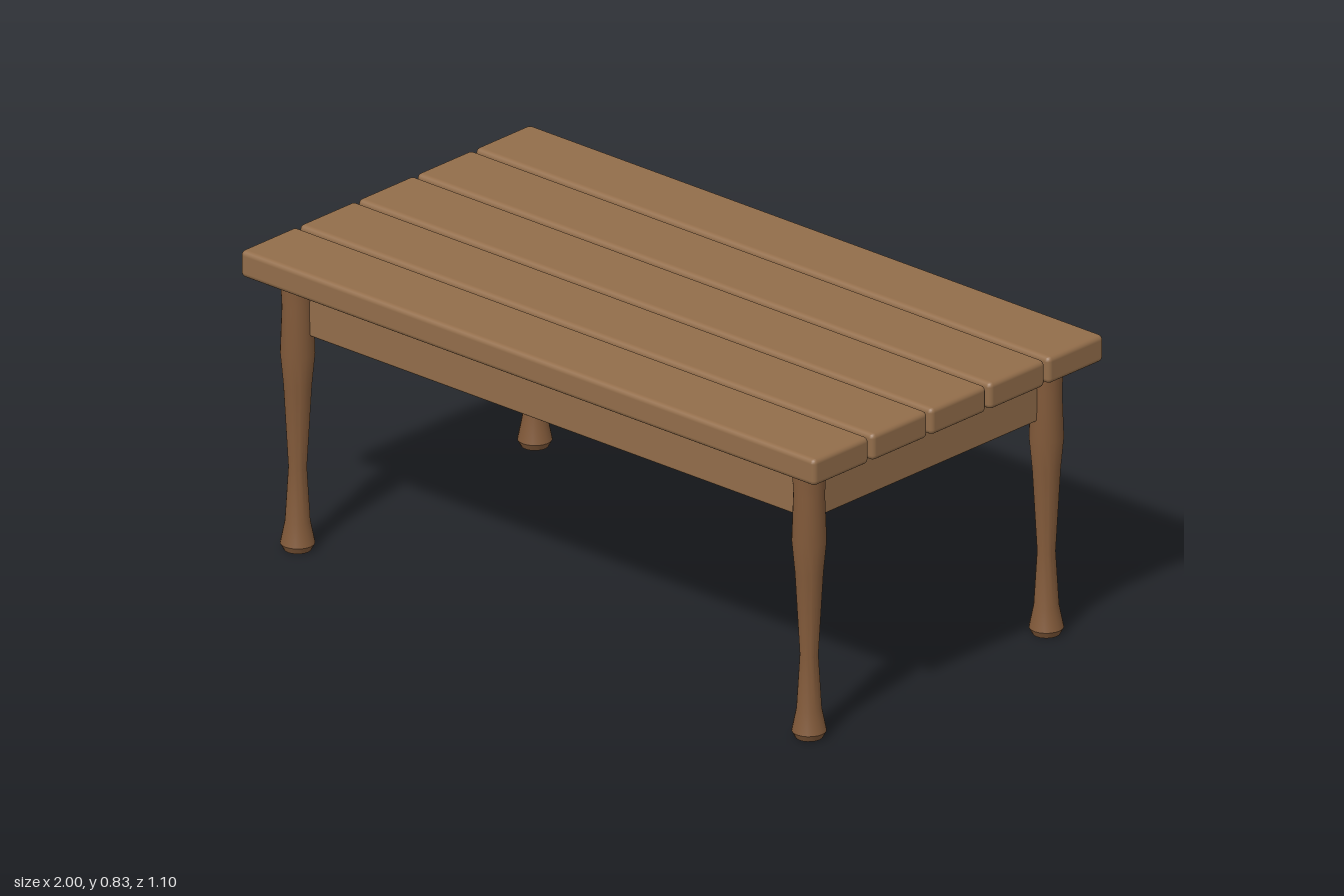
import * as THREE from 'three';
import { toCreasedNormals } from 'three/addons/utils/BufferGeometryUtils.js';
import { RoundedBoxGeometry } from 'three/addons/geometries/RoundedBoxGeometry.js';

export function createModel() {
  const table = new THREE.Group();
  table.name = 'slattedTable';
  const wood = new THREE.MeshStandardMaterial({ color: 0x926d4a });
  const legWood = new THREE.MeshStandardMaterial({ color: 0x825a3a });

  function addBoard(name, size, radius, position) {
    const board = new THREE.Mesh(new RoundedBoxGeometry(...size, 2, radius), wood);
    board.name = name;
    board.position.set(...position);
    table.add(board);
  }

  // Table top: five planks with narrow gaps
  for (let i = -2; i <= 2; i++) {
    addBoard('topPlank', [2, 0.075, 0.21], 0.014, [0, 0.7975, i * 0.2225]);
  }

  // Apron frame, let slightly into the gaps between the planks
  const bottom = 0.605, top = 0.78, thick = 0.075;
  const height = top - bottom, midY = (top + bottom) / 2;
  const outerX = 0.895, outerZ = 0.45;
  for (const s of [-1, 1]) {
    addBoard('longApron', [outerX * 2, height, thick], 0.007, [0, midY, s * (outerZ - thick / 2)]);
    addBoard('endApron', [thick, height, outerZ * 2], 0.007, [s * (outerX - thick / 2), midY, 0]);
  }

  // Turned legs: radius and height pairs from foot to top
  const profile = [
    [0, 0], [0.036, 0], [0.0455, 0.018], [0.033, 0.08], [0.024, 0.23],
    [0.037, 0.46], [0.0455, 0.55], [0.041, 0.68], [0.0455, 0.765], [0, 0.765],
  ].map(([r, y]) => new THREE.Vector2(r, y));
  const legGeometry = toCreasedNormals(new THREE.LatheGeometry(profile, 20), 0.4);
  for (const x of [-0.89, 0.89]) {
    for (const z of [-0.45, 0.45]) {
      const leg = new THREE.Mesh(legGeometry, legWood);
      leg.name = 'leg';
      leg.position.set(x, 0, z);
      table.add(leg);
    }
  }
  return table;
}
